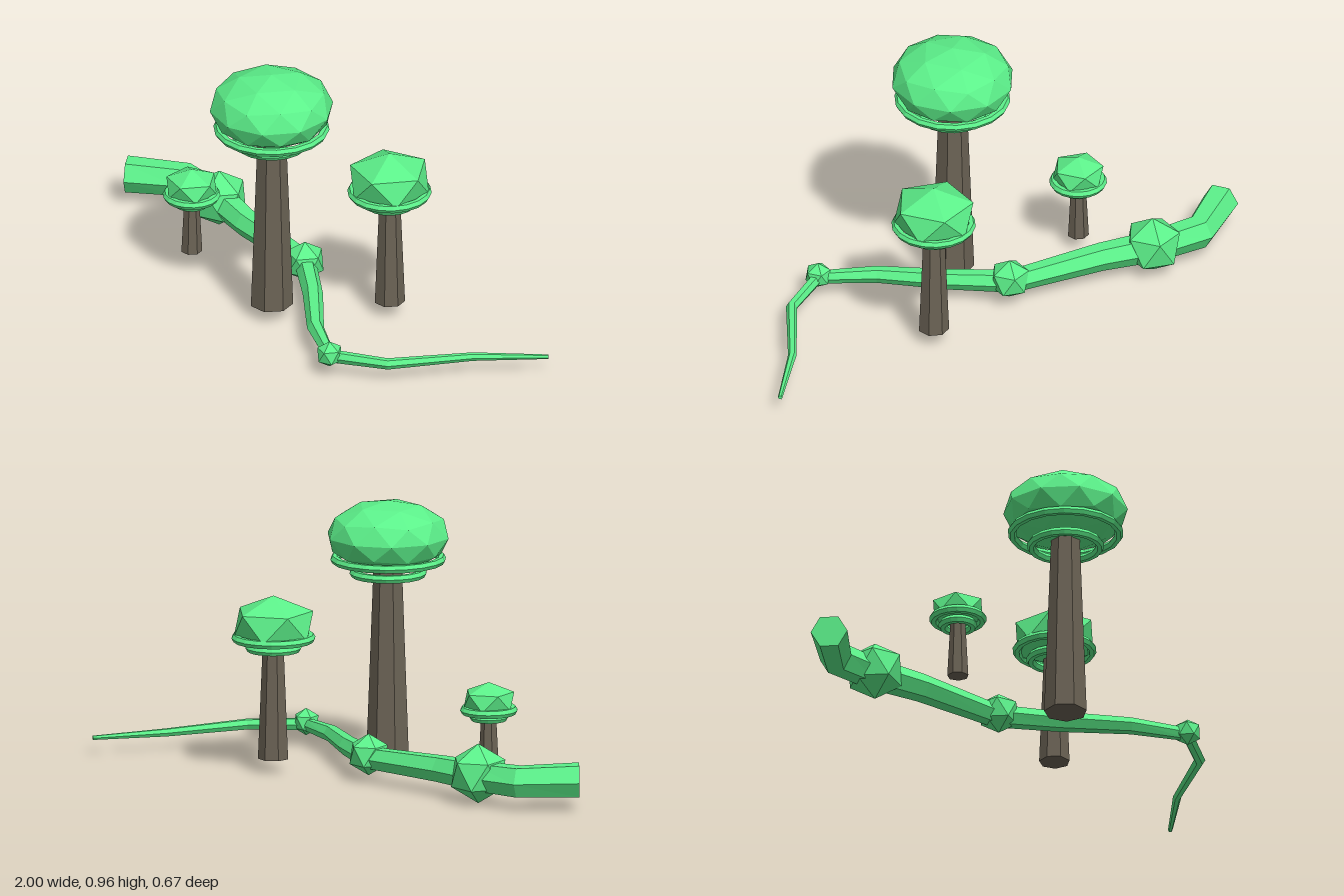
import * as THREE from 'three';

const leafMat = new THREE.MeshStandardMaterial({ color: 0x5cf08a, flatShading: true });
const barkMat = new THREE.MeshStandardMaterial({ color: 0x6b6355, flatShading: true });

function add(parent, name, geometry, material, x = 0, y = 0, z = 0) {
  const mesh = new THREE.Mesh(geometry, material);
  mesh.name = name;
  mesh.position.set(x, y, z);
  parent.add(mesh);
}

// Faceted ball with one corner pointing straight up and an upper corner toward +x
function ball(radius, height, detail) {
  const g = new THREE.IcosahedronGeometry(1, detail);
  g.rotateX(-Math.atan2((1 + Math.sqrt(5)) / 2, 1));
  g.rotateY(Math.PI / 2);
  return g.scale(radius, height, radius);
}

// Tree: seven-sided tapering trunk, squashed crown and two rings under it
function tree({ name, x, z, base, top, trunkTop, crown, rings }) {
  const group = new THREE.Group();
  group.name = name;
  group.position.set(x, 0, z);
  const h = trunkTop - 0.05;
  const trunk = new THREE.CylinderGeometry(top, base, h, 7).rotateY(Math.PI);
  add(group, 'trunk', trunk, barkMat, 0, 0.05 + h / 2, 0);
  add(group, 'crown', ball(crown.r, crown.h, crown.detail), leafMat, 0, crown.y, 0);
  const tube = 0.0155;
  for (const [outer, y] of rings) {
    const ring = new THREE.TorusGeometry(outer - tube, tube, 6, 18).rotateX(Math.PI / 2);
    add(group, 'crownRing', ring, leafMat, 0, y, 0);
  }
  return group;
}

// Tapering six-sided stem lying on the ground, mitred at each bend
function stemGeometry(path) {
  const sides = 6, pos = [], index = [];
  const centres = path.map(([x, z, r]) => new THREE.Vector3(x, 0.05 + 0.866 * r, z));
  path.forEach(([, , r], i) => {
    const a = centres[Math.max(i - 1, 0)], b = centres[Math.min(i + 1, path.length - 1)];
    const dir = b.clone().sub(a).setY(0).normalize();
    const c = centres[i];
    for (let k = 0; k < sides; k++) {
      const t = (k / sides) * Math.PI * 2;
      const s = Math.cos(t) * r;
      pos.push(c.x - dir.z * s, c.y + Math.sin(t) * r, c.z + dir.x * s);
    }
  });
  for (let i = 0; i < path.length - 1; i++) {
    for (let k = 0; k < sides; k++) {
      const a = i * sides + k, b = i * sides + (k + 1) % sides;
      index.push(a, a + sides, b, b, a + sides, b + sides);
    }
  }
  // End caps
  const last = (path.length - 1) * sides;
  for (let k = 1; k < sides - 1; k++) {
    index.push(0, k, k + 1, last, last + k + 1, last + k);
  }
  const g = new THREE.BufferGeometry();
  g.setAttribute('position', new THREE.Float32BufferAttribute(pos, 3));
  g.setIndex(index);
  const flat = g.toNonIndexed();
  flat.computeVertexNormals();
  return flat;
}

export function createModel() {
  const model = new THREE.Group();
  model.name = 'grove';

  model.add(
    tree({
      name: 'largeTree', x: 0.002, z: 0.118, base: 0.077, top: 0.052, trunkTop: 0.72,
      crown: { r: 0.22, h: 0.127, y: 0.83, detail: 1 },
      rings: [[0.205, 0.747], [0.137, 0.697]],
    }),
    tree({
      name: 'mediumTree', x: 0.287, z: -0.185, base: 0.055, top: 0.038, trunkTop: 0.46,
      crown: { r: 0.157, h: 0.103, y: 0.532, detail: 0 },
      rings: [[0.149, 0.484], [0.1, 0.449]],
    }),
    tree({
      name: 'smallTree', x: -0.475, z: 0.033, base: 0.038, top: 0.027, trunkTop: 0.26,
      crown: { r: 0.1, h: 0.065, y: 0.307, detail: 0 },
      rings: [[0.102, 0.272], [0.069, 0.248]],
    }),
  );

  // Winding stem: x, z, radius
  const path = [
    [-0.965, -0.14, 0.065], [-0.79, -0.262, 0.06], [-0.61, -0.245, 0.056],
    [-0.42, -0.19, 0.05], [-0.08, -0.135, 0.041], [0.1, 0.01, 0.036],
    [0.28, 0.18, 0.03], [0.457, 0.288, 0.024], [0.64, 0.185, 0.02],
    [0.81, -0.07, 0.015], [0.993, -0.264, 0.008],
  ];
  const stem = new THREE.Group();
  stem.name = 'windingStem';
  add(stem, 'stem', stemGeometry(path), leafMat);

  // Knots along the stem: x, y, z, radius
  for (const [x, y, z, r] of [
    [-0.607, 0.107, -0.24, 0.107], [-0.075, 0.095, -0.128, 0.075], [0.457, 0.079, 0.29, 0.049],
  ]) add(stem, 'stemKnot', ball(r, r, 0), leafMat, x, y, z);
  model.add(stem);

  return model;
}
